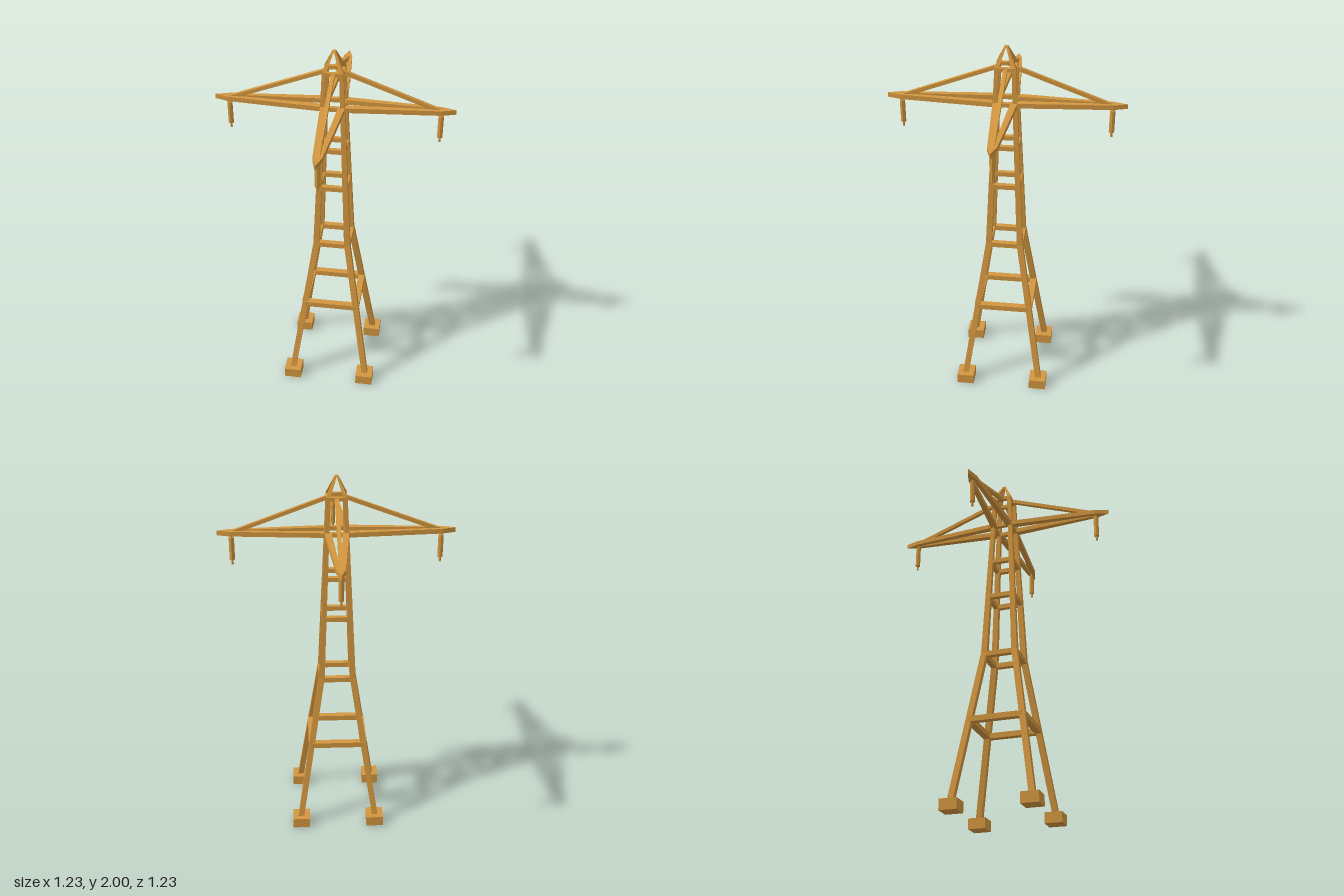
import * as THREE from 'three';

const material = new THREE.MeshStandardMaterial({ color: 0xd2963f, flatShading: true });

// Leg stations: height, distance of the centre line from the axis (in x and z), half thickness
const LEG = [
  [0.05, 0.212, 0.016],
  [0.89, 0.085, 0.016],
  [1.9, 0.043, 0.011],
  [2.0, 0.003, 0.005],
];

function legOffset(y) {
  const i = LEG.findIndex((s) => s[0] >= y);
  const [y0, c0] = LEG[i - 1];
  const [y1, c1] = LEG[i];
  return c0 + ((c1 - c0) * (y - y0)) / (y1 - y0);
}

// Level square sections joined upwards into one bent, tapering leg
function legGeometry(sx, sz) {
  const points = [];
  const index = [];
  for (const [y, c, h] of LEG) {
    for (const [dx, dz] of [[1, 1], [1, -1], [-1, -1], [-1, 1]]) {
      points.push(sx * c + dx * h, y, sz * c + dz * h);
    }
  }
  for (let s = 0; s < LEG.length - 1; s++) {
    for (let k = 0; k < 4; k++) {
      const a = s * 4 + k;
      const b = s * 4 + ((k + 1) % 4);
      index.push(a, b, b + 4, a, b + 4, a + 4);
    }
  }
  const t = (LEG.length - 1) * 4;
  index.push(0, 2, 1, 0, 3, 2, t, t + 1, t + 2, t, t + 2, t + 3);
  const geometry = new THREE.BufferGeometry();
  geometry.setAttribute('position', new THREE.Float32BufferAttribute(points, 3));
  geometry.setIndex(index);
  const flat = geometry.toNonIndexed();
  flat.computeVertexNormals();
  return flat;
}

function add(parent, name, geometry, x = 0, y = 0, z = 0) {
  const mesh = new THREE.Mesh(geometry, material);
  mesh.name = name;
  mesh.position.set(x, y, z);
  parent.add(mesh);
  return mesh;
}

// Square frame of four braces joining the legs at one height
function braceRing(y, height, depth) {
  const ring = new THREE.Group();
  ring.name = 'braceRing';
  const c = legOffset(y);
  for (let i = 0; i < 4; i++) {
    const side = new THREE.Group();
    side.rotation.y = (i * Math.PI) / 2;
    add(side, 'brace', new THREE.BoxGeometry(2 * c, height, depth), 0, y, c);
    ring.add(side);
  }
  return ring;
}

// One cross arm pointing along +x, with its tie bar and insulator
function crossArm() {
  const arm = new THREE.Group();
  arm.name = 'crossArm';

  // Two converging beams meeting in a pointed tip
  const outline = new THREE.Shape([
    [0.045, 0.064], [0.545, 0.023], [0.617, 0], [0.545, -0.023], [0.045, -0.064],
    [0.045, -0.028], [0.54, -0.003], [0.54, 0.003], [0.045, 0.028],
  ].map(([x, y]) => new THREE.Vector2(x, y)));
  const beams = new THREE.ExtrudeGeometry(outline, { depth: 0.025, bevelEnabled: false });
  beams.rotateX(-Math.PI / 2);
  add(arm, 'armBeams', beams, 0, 1.691, 0);

  // Sloping tie from the tower head to the arm end
  const from = new THREE.Vector2(0.042, 1.889);
  const to = new THREE.Vector2(0.545, 1.703);
  const tie = add(arm, 'tieBar', new THREE.BoxGeometry(from.distanceTo(to), 0.02, 0.02),
    (from.x + to.x) / 2, (from.y + to.y) / 2, 0);
  tie.rotation.z = Math.atan2(to.y - from.y, to.x - from.x);

  // Hanging insulator: thin rod with a thicker body
  add(arm, 'insulatorRod', new THREE.CylinderGeometry(0.006, 0.006, 0.17, 8), 0.543, 1.615, 0);
  add(arm, 'insulatorBody', new THREE.CylinderGeometry(0.014, 0.014, 0.122, 8), 0.543, 1.617, 0);
  return arm;
}

export function createModel() {
  const model = new THREE.Group();
  model.name = 'pylon';

  // Legs and footings
  for (const sx of [-1, 1]) {
    for (const sz of [-1, 1]) {
      add(model, 'leg', legGeometry(sx, sz));
      add(model, 'footing', new THREE.BoxGeometry(0.095, 0.058, 0.095), sx * 0.21, 0.029, sz * 0.21);
    }
  }

  // Braces: height, thickness, depth
  for (const [y, h, d] of [
    [0.494, 0.03, 0.036], [0.88, 0.027, 0.03], [1.237, 0.025, 0.026],
    [1.462, 0.024, 0.024], [1.703, 0.022, 0.022], [1.889, 0.02, 0.02],
  ]) {
    model.add(braceRing(y, h, d));
  }

  // Four cross arms
  for (let i = 0; i < 4; i++) {
    const arm = crossArm();
    arm.rotation.y = (i * Math.PI) / 2;
    model.add(arm);
  }
  return model;
}
